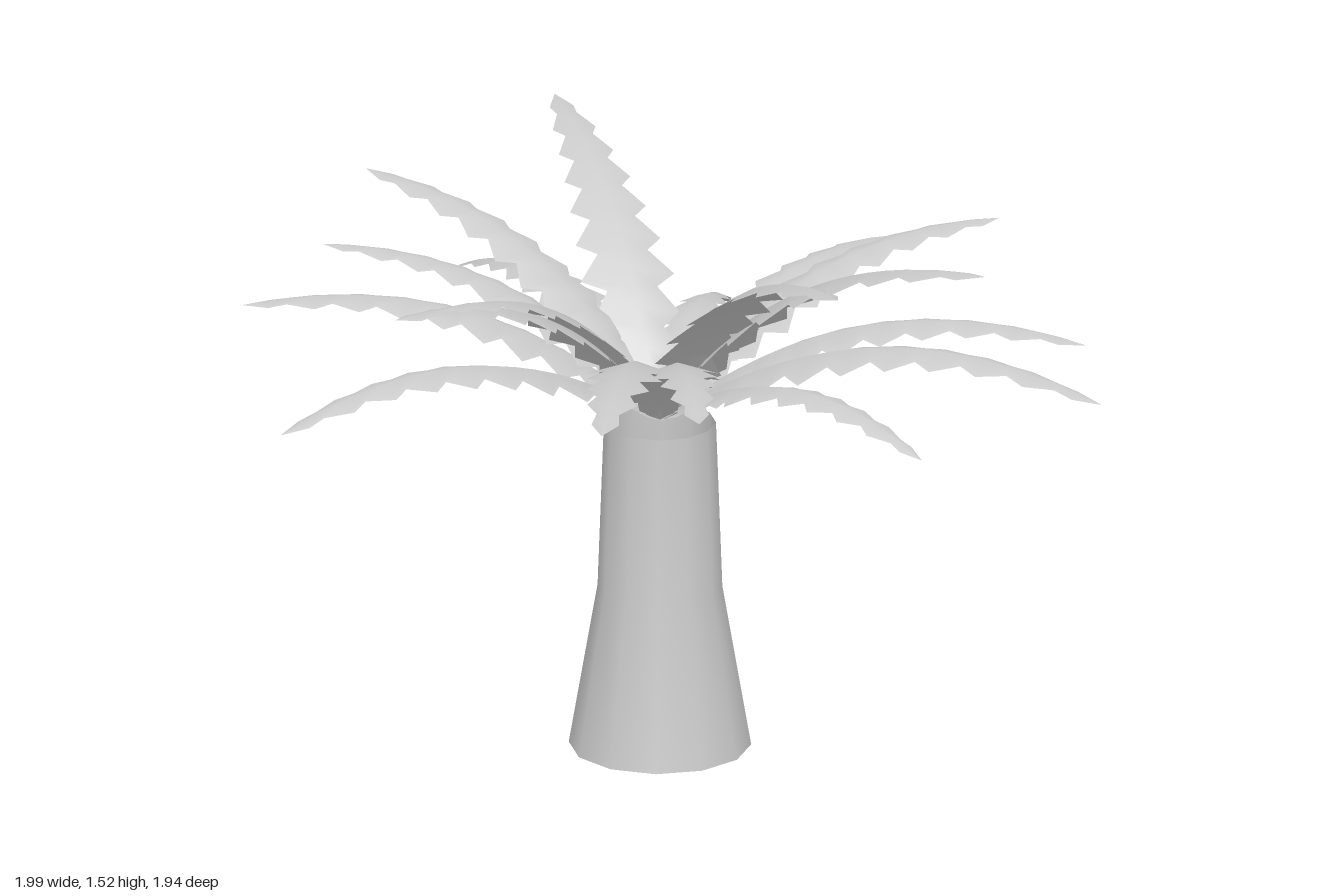
import * as THREE from 'three';

const CX = -0.09, CZ = -0.13, CROWN_Y = 0.86;

// Tip of each palm frond: [x, y, z]
const TIPS = [
  [0.06, 1.12, -0.97], [0.38, 1.23, -0.97], [0.84, 1.08, -0.65],
  [0.99, 1.0, -0.49], [0.92, 1.46, -0.06], [0.77, 0.96, 0.0],
  [0.79, 1.52, 0.42], [0.57, 1.24, 0.72], [0.44, 1.26, 0.97],
  [-0.2, 1.39, 0.72], [-0.3, 1.36, 0.77], [-0.62, 1.0, 0.8],
  [-0.99, 1.15, 0.4], [-0.9, 1.26, 0.17], [-1.0, 1.33, -0.19],
  [-1.0, 0.94, -0.62], [-0.85, 1.36, -0.83], [-0.39, 0.87, -0.92],
];

// Half width along the frond: [t, width]
const WIDTHS = [[0, 0.008], [0.15, 0.08], [0.35, 0.098], [0.6, 0.075], [0.85, 0.045], [0.94, 0.03], [1, 0]];

function halfWidth(t) {
  for (let i = 1; i < WIDTHS.length; i++) {
    const [t0, w0] = WIDTHS[i - 1], [t1, w1] = WIDTHS[i];
    if (t <= t1) return w0 + (w1 - w0) * (t - t0) / (t1 - t0);
  }
  return 0;
}

// Arched leaf with saw-toothed edges that droop from a raised midrib
function frondGeometry(tip) {
  const base = new THREE.Vector3(CX, CROWN_Y, CZ);
  const end = new THREE.Vector3(...tip);
  const chord = end.clone().sub(base);
  const length = chord.length();
  const side = new THREE.Vector3(-chord.z, 0, chord.x).normalize();
  const up = side.clone().cross(chord).normalize();
  // low fronds bow over more strongly
  const arch = 0.26 + 0.25 * Math.max(0, 1.15 - end.y);
  const control = base.clone().lerp(end, 0.5).addScaledVector(up, arch * length);
  const curve = new THREE.QuadraticBezierCurve3(base, control, end);

  const teeth = 10, rows = teeth * 2;
  const positions = [], index = [];
  for (let i = 0; i <= rows; i++) {
    const t = i / rows;
    const isPoint = i % 2 === 1;
    const point = curve.getPoint(t);
    const tangent = curve.getTangent(t);
    const normal = side.clone().cross(tangent).normalize();
    const w = halfWidth(t) * (length / 1.1) * (isPoint ? 1.18 : 0.66);
    // tooth points sweep back towards the base, notches towards the tip
    const sweep = i === 0 || i === rows ? 0 : (isPoint ? -0.006 : 0.006);
    for (const s of [-1, 0, 1]) {
      const p = point.clone().addScaledVector(side, s * w);
      if (s) p.addScaledVector(normal, -0.3 * w).addScaledVector(tangent, sweep);
      positions.push(p.x, p.y, p.z);
    }
    if (i < rows) {
      for (let k = 0; k < 2; k++) {
        const a = i * 3 + k, b = a + 3;
        index.push(a, b, a + 1, a + 1, b, b + 1);
      }
    }
  }
  const geometry = new THREE.BufferGeometry();
  geometry.setAttribute('position', new THREE.Float32BufferAttribute(positions, 3));
  geometry.setIndex(index);
  geometry.computeVertexNormals();
  return geometry;
}

export function createModel() {
  const model = new THREE.Group();
  model.name = 'palmTree';
  const material = new THREE.MeshStandardMaterial({ color: 0xcccccc, side: THREE.DoubleSide });

  // Flared open trunk
  const profile = [[0.228, 0], [0.156, 0.42], [0.14, 0.855]].map(([r, y]) => new THREE.Vector2(r, y));
  const trunk = new THREE.Mesh(new THREE.LatheGeometry(profile, 12), material);
  trunk.name = 'trunk';
  trunk.position.set(CX, 0, CZ);
  model.add(trunk);

  // Crown of fronds meeting at one point
  const crown = new THREE.Group();
  crown.name = 'crown';
  for (const tip of TIPS) {
    const frond = new THREE.Mesh(frondGeometry(tip), material);
    frond.name = 'frond';
    crown.add(frond);
  }
  model.add(crown);
  return model;
}
